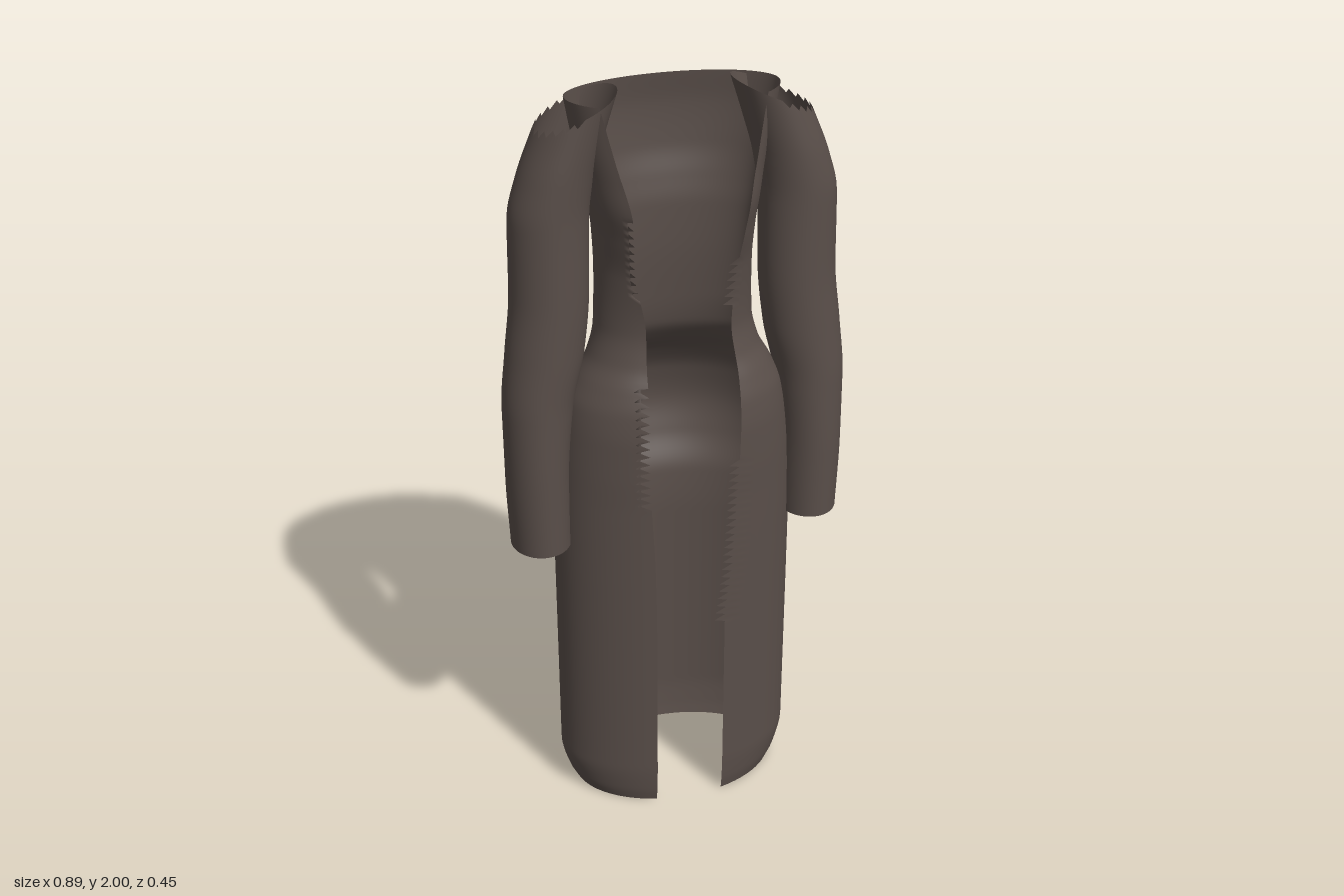
import * as THREE from 'three';

// Smooth interpolation of rows [y, a, b, ...] at height y
function sample(rows, y) {
  let i = 0;
  while (i < rows.length - 2 && y > rows[i + 1][0]) i++;
  const p = rows[i], q = rows[i + 1];
  const o = rows[Math.max(i - 1, 0)], r = rows[Math.min(i + 2, rows.length - 1)];
  const h = q[0] - p[0], t = THREE.MathUtils.clamp((y - p[0]) / h, 0, 1);
  return p.map((v, k) => {
    const s = (q[k] - v) / h;
    const before = o === p ? s : (v - o[k]) / (p[0] - o[0]);
    const after = r === q ? s : (r[k] - q[k]) / (r[0] - q[0]);
    // flat tangents at turning points avoid overshoot
    const m0 = before * s > 0 ? 2 * before * s / (before + s) : 0;
    const m1 = after * s > 0 ? 2 * after * s / (after + s) : 0;
    const t2 = t * t, t3 = t2 * t;
    return v * (2 * t3 - 3 * t2 + 1) + q[k] * (3 * t2 - 2 * t3)
      + h * (m0 * (t3 - 2 * t2 + t) + m1 * (t3 - t2));
  });
}

// Grid surface from point(u index, v index)
function gridSurface(cols, rows, point, closed = false) {
  const pos = [], index = [], width = closed ? cols : cols + 1;
  for (let j = 0; j <= rows; j++)
    for (let i = 0; i < width; i++) pos.push(...point(i, j));
  for (let j = 0; j < rows; j++)
    for (let i = 0; i < cols; i++) {
      const a = j * width + i, b = j * width + (i + 1) % width;
      index.push(a, b, a + width, b, b + width, a + width);
    }
  const g = new THREE.BufferGeometry();
  g.setAttribute('position', new THREE.Float32BufferAttribute(pos, 3));
  g.setIndex(index);
  g.computeVertexNormals();
  return g;
}

// Body: y, half width, back depth, front depth
const BODY = [
  [0, 0.28, -0.15, 0.22], [0.04, 0.30, -0.155, 0.225], [0.12, 0.318, -0.16, 0.228],
  [0.7, 0.318, -0.16, 0.228], [0.82, 0.317, -0.168, 0.228], [0.93, 0.314, -0.205, 0.228],
  [1.03, 0.308, -0.227, 0.23], [1.12, 0.298, -0.212, 0.23], [1.2, 0.283, -0.168, 0.222],
  [1.26, 0.255, -0.115, 0.205], [1.32, 0.222, -0.078, 0.18], [1.4, 0.203, -0.066, 0.165],
  [1.55, 0.199, -0.058, 0.185], [1.65, 0.203, -0.06, 0.22], [1.72, 0.212, -0.07, 0.235],
  [1.8, 0.225, -0.085, 0.215], [1.9, 0.248, -0.09, 0.19], [1.98, 0.262, -0.083, 0.18],
];

// Front opening: y, right edge, left edge
const OPENING = [
  [0, 0.095, 0.09], [0.56, 0.095, 0.09], [0.75, 0.098, 0.11], [1.05, 0.11, 0.125],
  [1.28, 0.105, 0.13], [1.4, 0.10, 0.12], [1.55, 0.125, 0.13],
  [1.72, 0.14, 0.15], [1.85, 0.17, 0.18], [1.98, 0.20, 0.205],
];

// Sleeve: y, inner x, outer x, back z, front z
const SLEEVE = [
  [0.81, 0.285, 0.44, -0.03, 0.152], [1.0, 0.284, 0.446, -0.033, 0.152],
  [1.2, 0.268, 0.446, -0.035, 0.148], [1.35, 0.235, 0.432, -0.037, 0.145],
  [1.5, 0.219, 0.415, -0.04, 0.142], [1.7, 0.214, 0.41, -0.042, 0.14],
  [1.8, 0.2, 0.385, -0.044, 0.14], [1.9, 0.172, 0.345, -0.045, 0.138],
  [2.0, 0.14, 0.30, -0.045, 0.136],
];

function coatBody() {
  const cols = 64, rows = 180;
  return gridSurface(cols, rows, (i, j) => {
    const y = 1.98 * j / rows;
    const [, w, back, front] = sample(BODY, y);
    let [, right, left] = sample(OPENING, y);
    // frayed stretches of the opening
    if ((i === 0 || i === cols) && j % 2) {
      if ((y > 0.95 && y < 1.27) || (y > 1.5 && y < 1.72)) right += 0.035;
      if ((y > 0.57 && y < 1.05) || (y > 1.45 && y < 1.58)) left -= 0.03;
    }
    const from = -Math.PI + Math.asin(right / w), to = Math.PI - Math.asin(left / w);
    // the panel runs around the back from the right edge to the left edge
    const a = to + (from - to) * i / cols;
    const c = Math.cos(a), zc = 0.03;
    return [w * Math.sin(a), y, zc - c * (c > 0 ? zc - back : front - zc)];
  });
}

function sleeve(side) {
  const cols = 48, rows = 60;
  return gridSurface(cols, rows, (i, j) => {
    const a = 2 * Math.PI * i / cols, c = Math.cos(a);
    // the open shoulder slopes down to the outside with a ragged rim
    const rag = j === rows && c > 0 && i % 2 ? 0.015 : 0;
    const y = 0.81 + (1.96 - 0.04 * c - 0.81) * j / rows - rag;
    const [, inner, outer, back, front] = sample(SLEEVE, y);
    const x = (inner + outer) / 2 + c * (outer - inner) / 2;
    const z = (back + front) / 2 - side * Math.sin(a) * (front - back) / 2;
    return [side * x, y, z];
  }, true);
}

export function createModel() {
  const cloth = new THREE.MeshStandardMaterial({ color: 0x594e49, side: THREE.DoubleSide });
  cloth.name = 'dark brown cloth';
  const model = new THREE.Group();
  model.name = 'openCoat';
  const add = (name, geometry) => {
    const mesh = new THREE.Mesh(geometry, cloth);
    mesh.name = name;
    model.add(mesh);
  };
  add('coatBody', coatBody());
  add('leftSleeve', sleeve(1));
  add('rightSleeve', sleeve(-1));
  return model;
}
